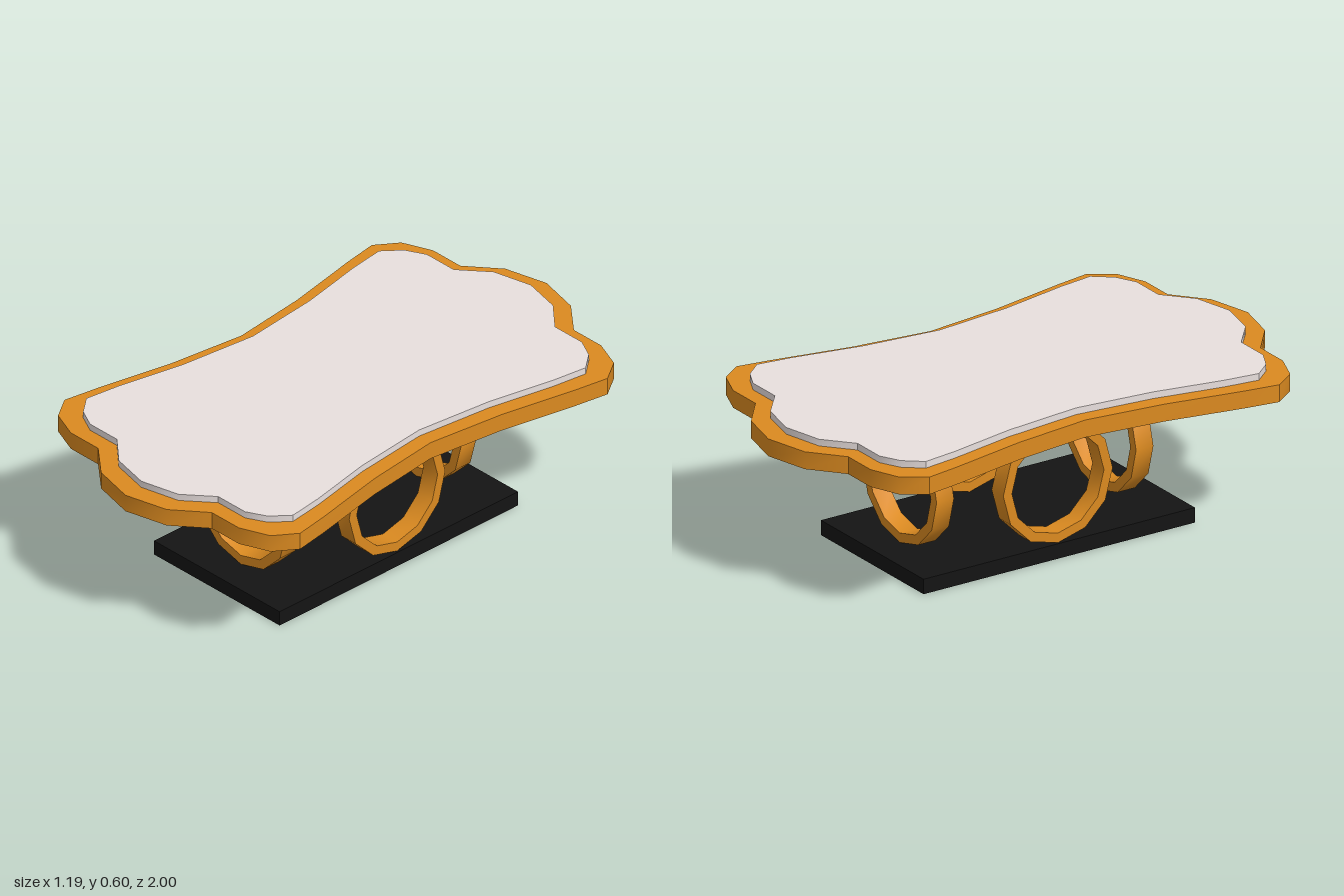
import * as THREE from 'three';
import { mergeGeometries, toCreasedNormals } from 'three/addons/utils/BufferGeometryUtils.js';

const WOOD = 0xdb8a20, PANEL = 0xe8dfdd, BASE = 0x141414;
const CREASE = 0.65;

// One quarter of each outline, from the waist (+x) round to the end tip
const RIM = [[0.476, 0], [0.512, 0.3], [0.572, 0.6], [0.593, 0.73], [0.535, 0.815],
  [0.423, 0.86], [0.286, 0.86], [0.165, 0.96], [0, 1]];
const INSET = [[0.418, 0], [0.45, 0.3], [0.502, 0.56], [0.52, 0.695], [0.465, 0.762],
  [0.39, 0.8], [0.255, 0.8], [0.15, 0.89], [0, 0.925]];

function material(color) {
  return new THREE.MeshStandardMaterial({ color, side: THREE.DoubleSide });
}

// Mirror a quarter into a full counter-clockwise outline
function fullOutline(quarter) {
  const half = [...quarter, ...quarter.slice(0, -1).reverse().map(([x, y]) => [-x, y])];
  const other = half.slice(1, -1).map(([x, y]) => [-x, -y]);
  return [...half, ...other].map(([x, y]) => new THREE.Vector2(x, y));
}

// Lid shape: a top face with a skirt around it, open underneath
function lid(name, quarter, skirtBottom, faceY, color) {
  const outline = fullOutline(quarter);
  const pos = [];
  outline.forEach((a, i) => {
    const b = outline[(i + 1) % outline.length];
    pos.push(a.x, a.y, skirtBottom, b.x, b.y, skirtBottom, b.x, b.y, faceY);
    pos.push(a.x, a.y, skirtBottom, b.x, b.y, faceY, a.x, a.y, faceY);
  });
  const skirt = new THREE.BufferGeometry();
  skirt.setAttribute('position', new THREE.Float32BufferAttribute(pos, 3));
  const face = new THREE.ShapeGeometry(new THREE.Shape(outline)).toNonIndexed();
  face.deleteAttribute('uv');
  face.deleteAttribute('normal');
  face.translate(0, 0, faceY);
  const geometry = toCreasedNormals(mergeGeometries([skirt, face]), CREASE);
  geometry.rotateX(-Math.PI / 2);
  const mesh = new THREE.Mesh(geometry, material(color));
  mesh.name = name;
  return mesh;
}

// Twelve-sided ring standing upright, centred on its own middle
function ringGeometry(outer, inner, depth) {
  const circle = (r) => Array.from({ length: 12 }, (_, i) => {
    const a = (i / 12) * Math.PI * 2;
    return new THREE.Vector2(Math.cos(a) * r, Math.sin(a) * r);
  });
  const shape = new THREE.Shape(circle(outer));
  shape.holes.push(new THREE.Path(circle(inner)));
  const geometry = new THREE.ExtrudeGeometry(shape, { depth, bevelEnabled: false });
  geometry.translate(0, 0, -depth / 2);
  return toCreasedNormals(geometry, CREASE);
}

export function createModel() {
  const model = new THREE.Group();
  model.name = 'coffeeTable';

  // Table top
  model.add(lid('topFrame', RIM, 0.51, 0.575, WOOD));
  model.add(lid('topPanel', INSET, 0.56, 0.6, PANEL));

  // Ring legs: one at each end, one on each side
  const ring = ringGeometry(0.228, 0.192, 0.072);
  const wood = material(WOOD);
  for (const s of [1, -1]) {
    const end = new THREE.Mesh(ring, wood);
    end.name = s > 0 ? 'frontRingLeg' : 'backRingLeg';
    end.position.set(0, 0.284, s * 0.416);
    const side = new THREE.Mesh(ring, wood);
    side.name = s > 0 ? 'leftRingLeg' : 'rightRingLeg';
    side.position.set(s * 0.272, 0.284, 0);
    side.rotation.y = Math.PI / 2;
    model.add(end, side);
  }

  // Base slab
  const base = new THREE.Mesh(new THREE.BoxGeometry(0.632, 0.056, 1.132), material(BASE));
  base.name = 'base';
  base.position.y = 0.028;
  model.add(base);

  return model;
}
